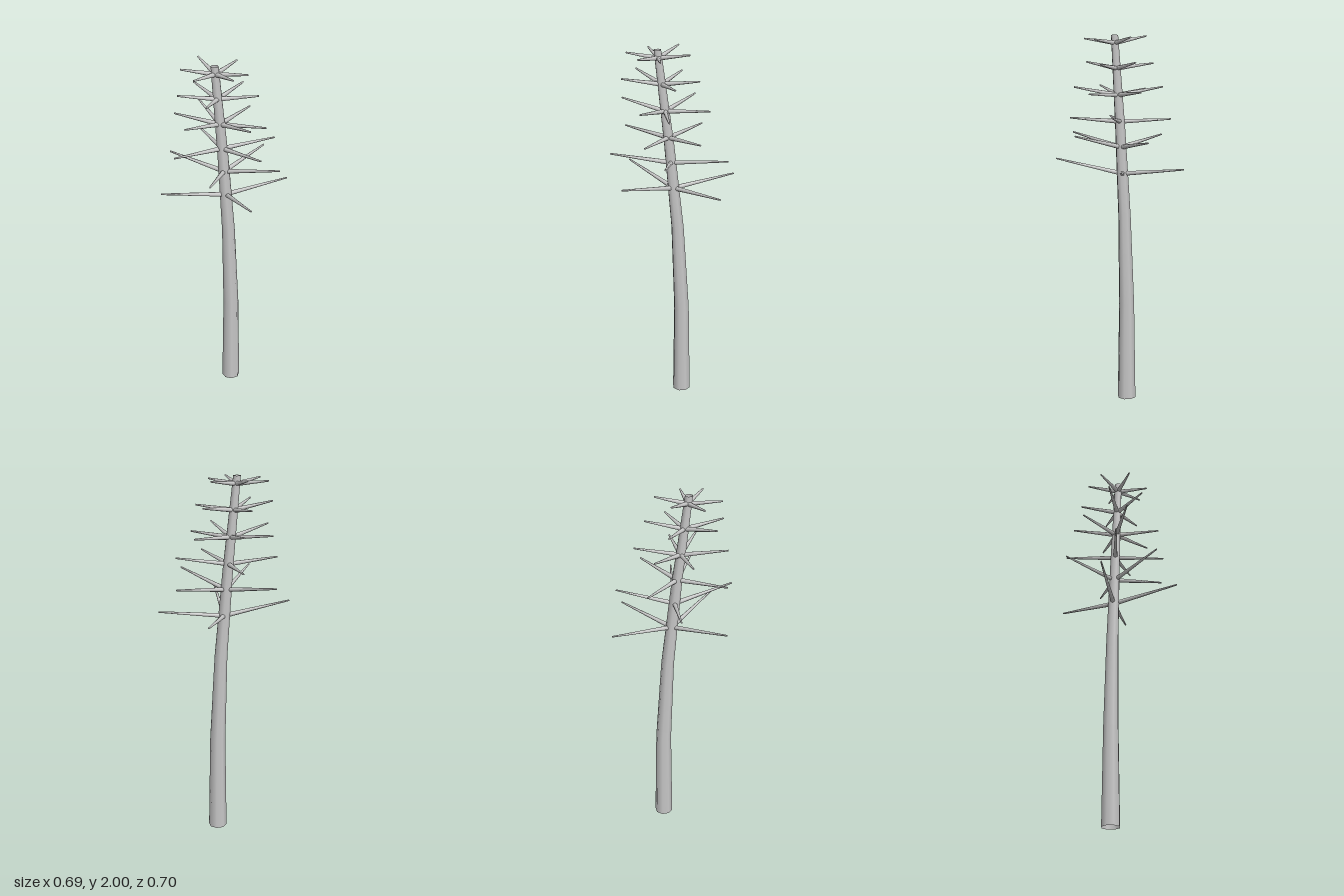
import * as THREE from 'three';

const bark = new THREE.MeshStandardMaterial({ color: 0xc8c8c8, side: THREE.DoubleSide });
bark.name = 'grey bark';

// Trunk rings: height, lean (toward -x and +z alike), radius
const rings = [
  [0, 0.035, 0.051],
  [0.54, 0.034, 0.043],
  [1.03, 0.017, 0.035],
  [1.51, -0.017, 0.028],
  [2, -0.06, 0.02],
];

function centreAt(y) {
  const i = Math.max(1, rings.findIndex((r) => r[0] >= y));
  const [y0, d0] = rings[i - 1], [y1, d1] = rings[i];
  const d = d0 + (d1 - d0) * (y - y0) / (y1 - y0);
  return new THREE.Vector3(d, y, -d);
}

// Whorls: height of the root, then the tip of each branch
const whorls = [
  [1.257, [[0.343, 1.294, -0.09], [0.045, 1.294, -0.35], [-0.345, 1.326, 0.095], [0.094, 1.34, 0.347]]],
  [1.4, [[-0.284, 1.453, -0.151], [0.259, 1.475, 0.183], [0.228, 1.446, -0.201], [-0.108, 1.47, 0.316]]],
  [1.538, [[-0.274, 1.554, 0.148], [0.258, 1.572, -0.018], [-0.121, 1.55, -0.241], [0.152, 1.565, 0.244]]],
  [1.68, [[-0.259, 1.71, -0.061], [-0.121, 1.724, -0.196], [0.141, 1.7, -0.14],
    [0.193, 1.69, 0.125], [0.098, 1.725, 0.24], [-0.219, 1.728, 0.191]]],
  [1.822, [[-0.247, 1.866, 0.092], [0.16, 1.842, 0.073], [-0.153, 1.85, -0.133],
    [-0.118, 1.857, 0.238], [0.1, 1.852, -0.1]]],
  [1.957, [[-0.227, 1.978, 0.03], [0.098, 1.973, 0.124], [0.016, 1.98, 0.208],
    [-0.13, 1.995, -0.1], [-0.172, 1.976, 0.184], [0.063, 1.983, -0.063]]],
];

// Open eight-sided tube bent along the rings
function makeTrunk() {
  const sides = 8;
  const geo = new THREE.CylinderGeometry(1, 1, 1, sides, rings.length - 1, true);
  const p = geo.attributes.position;
  for (let i = 0; i < p.count; i++) {
    const row = Math.floor(i / (sides + 1));
    const [y, d, r] = rings[rings.length - 1 - row];
    p.setXYZ(i, p.getX(i) * r + d, y, p.getZ(i) * r - d);
  }
  const trunk = new THREE.Mesh(geo, bark);
  trunk.name = 'trunk';
  return trunk;
}

// Tapered stick from root to tip
function makeBranch(root, tip) {
  const dir = tip.clone().sub(root);
  const geo = new THREE.CylinderGeometry(0.0042, 0.013, dir.length(), 8);
  const branch = new THREE.Mesh(geo, bark);
  branch.position.copy(root).addScaledVector(dir, 0.5);
  branch.quaternion.setFromUnitVectors(new THREE.Vector3(0, 1, 0), dir.normalize());
  branch.name = 'branch';
  return branch;
}

export function createModel() {
  const tree = new THREE.Group();
  tree.name = 'bareTree';
  tree.add(makeTrunk());
  for (const [y, tips] of whorls) {
    const whorl = new THREE.Group();
    whorl.name = 'branchWhorl';
    const root = centreAt(y);
    for (const tip of tips) whorl.add(makeBranch(root, new THREE.Vector3(...tip)));
    tree.add(whorl);
  }
  return tree;
}
